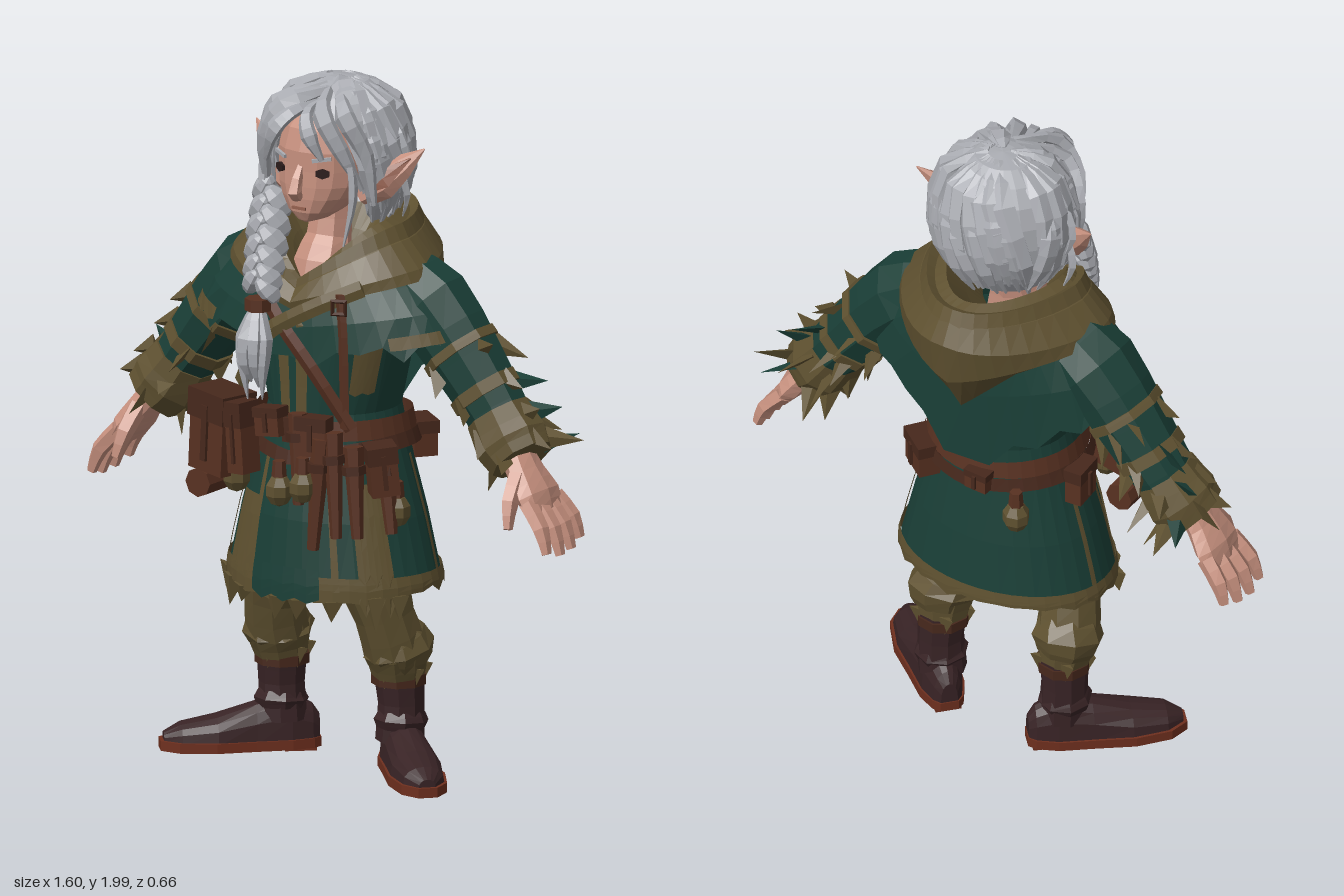
import * as THREE from 'three';
const V = (x, y, z) => new THREE.Vector3(x, y, z);
const paint = (name, color) => new THREE.MeshStandardMaterial({ name, color, side: THREE.DoubleSide });
const lerp = THREE.MathUtils.lerp, PI = Math.PI, O = [0, 0, 0];
let seed = 7;
const rnd = () => (seed = (seed * 16807) % 2147483647) / 2147483647;
const list = (n, f) => Array.from({ length: n }, (_, i) => f(i));
// Faceted normals for any geometry
function flat(geo) {
  const g = geo.index ? geo.toNonIndexed() : geo;
  g.computeVertexNormals();
  return g;
}
const box = (w, h, d) => flat(new THREE.BoxGeometry(w, h, d));
const cyl = (a, b, h, n = 7) => flat(new THREE.CylinderGeometry(a, b, h, n));
const ball = r => flat(new THREE.SphereGeometry(r, 7, 5));
// Skin a list of equally long point rows
function sheet(rows) {
  const p = [];
  for (let i = 0; i + 1 < rows.length; i++)
    for (let j = 0; j + 1 < rows[i].length; j++) {
      const [a, b, c, d] = [rows[i][j], rows[i][j + 1], rows[i + 1][j + 1], rows[i + 1][j]];
      for (const v of [a, d, b, b, d, c]) p.push(v.x, v.y, v.z);
    }
  const g = new THREE.BufferGeometry();
  g.setAttribute('position', new THREE.Float32BufferAttribute(p, 3));
  return flat(g);
}
// Capped tube through points; each radius is a number or [across, along ref]
function tube(pts, radii, sides = 6, ref = V(0, 0, 1), steps = 2) {
  const curve = new THREE.CatmullRomCurve3(pts.map(q => V(...q))), n = (pts.length - 1) * steps;
  return sheet(list(n + 1, i => {
    const c = curve.getPoint(i / n), t = curve.getTangent(i / n);
    const side = t.clone().cross(ref).normalize(), up = side.clone().cross(t).normalize();
    const k = Math.min(Math.floor(i / steps), pts.length - 2), f = i / steps - k;
    const [r0, r1] = [radii[k], radii[k + 1]].map(r => (Array.isArray(r) ? r : [r, r]));
    const a = lerp(r0[0], r1[0], f), b = lerp(r0[1], r1[1], f), cap = list(sides + 1, () => c);
    const row = list(sides + 1, j => c.clone().addScaledVector(side, a * Math.cos(j / sides * PI * 2)).addScaledVector(up, b * Math.sin(j / sides * PI * 2)));
    return i === 0 ? [cap, row] : i === n ? [row, cap] : [row];
  }).flat());
}
// Cloth around the body, dipping to a point at front and back; row = [rx, zFront, zBack, yFront, ySide, yBack]
function drape(rows, jag = 0, a0 = -PI, a1 = PI, pinch = 0, n = 36) {
  return sheet(rows.map(([rx, zf, zb, yf, ys, yb], i) => list(n + 1, j => {
    const w = lerp(a0, a1, j / n), c = Math.cos(w), s = Math.sin(w);
    const y = lerp(ys, c > 0 ? yf : yb, 1 - Math.abs(s)) - (i === rows.length - 1 && j % 2 ? rnd() * jag : 0);
    return V(rx * s * (1 - pinch * Math.max(0, -c)), y, c * (c > 0 ? zf : zb));
  })));
}
// Coat profile: [y, rx, zFront, zBack]
const COAT = [[1.43, .21, .16, .16], [1.3, .25, .2, .19], [1.05, .19, .19, .17], [.95, .215, .205, .18], [.75, .275, .235, .21], [.57, .32, .25, .23]];
function coatPoint(az, y, k = 1) {
  const i = Math.max(0, COAT.findLastIndex((r, m) => r[0] > y && m < COAT.length - 1));
  const f = Math.min(1, (COAT[i][0] - y) / (COAT[i][0] - COAT[i + 1][0])), c = Math.cos(az);
  const [rx, zf, zb] = [1, 2, 3].map(m => lerp(COAT[i][m], COAT[i + 1][m], f) * k);
  return V(rx * Math.sin(az), y, c * (c > 0 ? zf : zb));
}
function patch(a0, a1, yTop, yBottom, n = 5, jag = 0, drop = 0, k = 1.03) {
  return sheet(list(n + 1, j => {
    const az = lerp(a0, a1, j / n), low = yBottom - drop * Math.max(0, Math.cos(az)) - (j % 2 ? rnd() * jag : 0);
    return list(5, i => coatPoint(az, lerp(yTop, low, i / 4), k));
  }));
}
// Hair shell: az 0 is the front, t runs from crown to lower edge
function hairPoint(az, t, k = 1) {
  const a = Math.abs(Math.atan2(Math.sin(az), Math.cos(az)));
  const th = t * lerp(1.0, 2.5, THREE.MathUtils.smoothstep(a, .5, 1.2)), s = Math.sin(th) ** .75;
  return V(.2 * s * Math.sin(az) * k, 1.762 + .222 * Math.cos(th) * k, -.022 + .174 * s * Math.cos(az) * k);
}

export function createModel() {
  seed = 7;
  const root = new THREE.Group();
  const hair = paint('silver hair', 0xa9abb1), skin = paint('skin', 0xc6907e), lips = paint('lips', 0x94604f), dark = paint('eye dark', 0x2a1b1a);
  const green = paint('coat green', 0x1a3f37), olive = paint('olive cloth', 0x5f5130), leather = paint('leather', 0x583121);
  const deep = paint('dark leather', 0x47281c), boot = paint('boot', 0x382325), sole = paint('sole', 0x6e2f1e);
  const place = (o, name, pos, rot, parent) => {
    o.name = name;
    o.position.set(...pos);
    o.rotation.set(...rot);
    parent.add(o);
    return o;
  };
  const add = (name, geo, mat, pos = O, rot = O, parent = root) => place(new THREE.Mesh(geo, mat), name, pos, rot, parent);
  const group = (name, pos, rot) => place(new THREE.Group(), name, pos, rot, root);
  // Torn scrap of cloth pointing along dir
  const scrap = (name, at, dir, r, h, mat) => {
    const d = dir.clone().normalize(), m = add(name, flat(new THREE.ConeGeometry(r, h, 3)), mat, at.clone().addScaledVector(d, h * .35).toArray());
    m.quaternion.setFromUnitVectors(V(0, 1, 0), d);
    m.scale.z = .4;
  };
  // Head and face: [y, rx, zFront, zBack]
  const skull = [[1.592, .01, .15, .1], [1.6, .038, .165, .04], [1.625, .075, .178, 0], [1.665, .11, .182, -.06], [1.7, .13, .182, -.1],
    [1.745, .137, .18, -.12], [1.8, .137, .18, -.13], [1.86, .125, .162, -.12], [1.93, .08, .1, -.08]];
  add('head', sheet(skull.map(([y, rx, f, b]) => list(19, j => {
    const w = (j / 18) * PI * 2, s = Math.sin(w);
    return V(rx * Math.sign(s) * Math.abs(s) ** .85, y, (f + b) / 2 + (f - b) / 2 * Math.cos(w));
  }))), skin);
  add('nose', tube([[0, 1.76, .17], [0, 1.69, .203], [0, 1.668, .182]], [.011, .022, .014], 5), skin);
  add('neck', tube([[0, 1.38, .07], [0, 1.46, .06], [0, 1.53, .035], [0, 1.64, .02]], [.1, .085, .064, .056], 8), skin);
  add('mouth', box(.045, .008, .006), lips, [0, 1.638, .181]);
  for (const s of [-1, 1]) {
    add('eye', flat(new THREE.CylinderGeometry(.022, .022, .008, 6).rotateX(PI / 2).scale(1, .65, 1)), dark, [s * .072, 1.745, .169], [0, s * .48, 0]);
    add('eyebrow', box(.055, .01, .008), hair, [s * .07, 1.785, .17], [0, s * .48, s * .15]);
    add('ear', tube([[s * .12, 1.665, .05], [s * .18, 1.71, .035], [s * .235, 1.76, .01], [s * .288, 1.81, -.02]], [[.035, .025], [.052, .03], [.035, .02], .002], 6), skin);
    add('innerEar', tube([[s * .165, 1.695, .07], [s * .2, 1.727, .058], [s * .262, 1.785, .012]], [[.01, .003], [.028, .004], [.003, .003]], 4), lips);
    for (const y of [1.84, 1.74]) add('looseHair', tube([[s * .17, y + .03, -.03], [s * .205, y, -.01], [s * .228, y - .07, -.02], [s * .205, y - .14, -.03]], [.012, .016, .012, .002], 4), hair);
  }
  // Hair shell, swept strands and front locks
  add('hairShell', sheet(list(9, i => list(25, j => hairPoint((j / 24) * PI * 2, i / 8)))), hair);
  for (let i = 0; i < 40; i++) {
    const az = .8 + (i / 39) * (PI * 2 - 1.6), turn = (az < PI + 1 ? 1 : -.6) * (.3 + .5 * rnd()), k = 1.01 + rnd() * .06;
    const t0 = i % 2 ? .05 : .25 + rnd() * .2, end = .85 + rnd() * .17, mid = az - turn * .3;
    const pts = [0, .33, .67, 1].map(f => hairPoint(az + turn * (f - .8), lerp(t0, end, f), f === 0 ? .97 : k).toArray());
    add('hairStrand', tube(pts, [.01, [.034, .016], [.03, .016], .004], 5, V(Math.sin(mid), .3, Math.cos(mid))), hair);
  }
  const locks = [
    [[.02, 1.96, .06], [-.06, 1.925, .17], [-.12, 1.83, .18], [-.145, 1.66, .13]], [[0, 1.97, .04], [-.11, 1.91, .13], [-.17, 1.8, .1], [-.16, 1.64, .11]],
    [[.02, 1.96, .06], [.07, 1.92, .17], [.125, 1.82, .16], [.165, 1.7, .11]], [[.04, 1.97, .04], [.12, 1.91, .13], [.17, 1.8, .1], [.18, 1.65, .07]],
    [[.01, 1.93, .1], [-.015, 1.915, .2], [-.05, 1.87, .232], [-.1, 1.77, .2]], [[.01, 1.93, .1], [.03, 1.91, .19], [.055, 1.86, .21], [.085, 1.79, .19]],
    [[.1, 1.88, .15], [.145, 1.78, .14], [.155, 1.68, .14], [.13, 1.54, .15]], [[-.13, 1.83, .14], [-.15, 1.76, .14], [-.145, 1.68, .15], [-.125, 1.6, .16]]];
  locks.forEach((p, i) => add('frontLock', tube(p, i > 5 ? [.008, .014, .014, .003] : [.012, i > 3 ? [.022, .014] : [.034, .018], [.028, .015], .008], 5, V(0, .3, 1), 3), hair));
  // Braid over the right shoulder, its tie and loose tail
  const braid = new THREE.CatmullRomCurve3([V(-.13, 1.66, .13), V(-.115, 1.56, .175), V(-.095, 1.46, .225), V(-.085, 1.39, .25)]);
  for (let i = 0; i < 12; i++) {
    const s = i % 2 ? 1 : -1, p = braid.getPoint(i / 12);
    add('braidLobe', ball(.051 - Math.abs(i - 4) * .0015), hair, [p.x + s * .026, p.y, p.z], [.35, 0, s * .6]).scale.set(.72, 1.15, .8);
  }
  add('braidTie', cyl(.038, .038, .035), leather, [-.085, 1.365, .257]);
  for (let i = 0; i < 6; i++) {
    const c = Math.cos(i * PI / 3), s = Math.sin(i * PI / 3);
    add('braidTail', tube([[-.085, 1.37, .257], [-.085 + c * .035, 1.27, .28 + s * .02], [-.083 + c * .034, 1.2, .288 + s * .015], [-.08 + c * .025, 1.09 + rnd() * .06, .28]], [.014, .026, .02, .002], 5), hair);
  }
  // Hood lying on the shoulders, pointed behind
  add('hood', drape([[.08, .08, .05, 1.36, 1.45, 1.42], [.12, .12, .14, 1.4, 1.52, 1.5], [.168, .16, .22, 1.42, 1.59, 1.585], [.25, .2, .3, 1.41, 1.55, 1.565],
    [.315, .225, .335, 1.375, 1.48, 1.5], [.33, .22, .315, 1.355, 1.45, 1.36], [.27, .19, .24, 1.35, 1.44, 1.23], [.2, .15, .16, 1.35, 1.42, 1.25]], 0, -PI, PI, .2), olive);
  add('hoodFold', drape([[.2, .18, .26, 1.42, 1.575, 1.585], [.225, .19, .285, 1.435, 1.592, 1.597], [.25, .2, .305, 1.4, 1.545, 1.555]], 0, -PI, PI, .2), olive);
  // Shoulder cape, torn behind, with trim over the arms and down the chest
  add('cape', drape([[.2, .15, .18, 1.38, 1.52, 1.45], [.32, .2, .21, 1.36, 1.44, 1.38], [.39, .215, .215, 1.3, 1.37, 1.25], [.435, .222, .215, 1.22, 1.305, 1.03]], .07), green);
  for (const s of [-1, 1]) {
    add('capeTrim', drape([[.43, .226, .224, 1.245, 1.328, 1.1], [.446, .23, .226, 1.21, 1.295, 1.05]], .015, s * .75, s * 2, 0, 14), olive);
    add('capeEdge', patch(s * .74, s * 1.08, 1.42, 1.12, 4, .05, 0, 1.11), olive);
    add('frontTrim', patch(s * .05, s * .2, 1.4, 1.04, 3, 0, 0, 1.09), olive);
  }
  // Coat, hem and panels
  add('coat', drape(COAT.map(([y, rx, f, b]) => [rx, f, b, y, y, y])), green);
  add('coatHem', patch(-PI, PI, .6, .56, 40, .025, .035), olive);
  add('frontTail', patch(-.35, .35, .62, .555, 6, .02, .02, 1.045), green);
  add('rightPanel', patch(-.8, -.42, .8, .58, 6, .06), olive);
  add('leftPanel', patch(.72, 1.08, .86, .53, 6, .08), olive);
  for (const a of [-1.2, -.4, .5, 1.75, -1.75]) add('panelEdge', patch(a - .035, a + .035, .92, .56, 2), olive);
  for (const [a, h] of [[-1.15, .07], [-.8, .09], [-.55, .05], [-.1, .07], [.12, .06], [.45, .06], [.85, .1], [1.1, .07]])
    scrap('hemTatter', coatPoint(a, .55 - .03 * Math.cos(a), 1.01), V(a * .15, -1, 0), .045, h, olive);
  for (const s of [-1, 1]) {
    // Sleeve, bands and cuff
    const limb = (name, pts, radii, mat, sides = 9) => add(name, tube(pts.map(([x, y, z]) => [s * x, y, z]), radii, sides), mat);
    limb('sleeve', [[.2, 1.43, -.02], [.31, 1.36, -.025], [.43, 1.22, -.03], [.53, 1.09, -.03], [.6, 1.0, -.02]], [.1, .122, .106, .092, .08], green);
    limb('sleeveBand', [[.4, 1.255, -.03], [.418, 1.234, -.03]], [.117, .118], olive);
    limb('elbowBand', [[.48, 1.153, -.03], [.503, 1.124, -.03]], [.105, .105], olive);
    limb('cuff', [[.535, 1.085, -.025], [.59, 1.01, -.02], [.63, .967, -.01]], [.094, .108, .094], olive);
    // Torn scraps, mostly on the back and underside of the arm
    const axis = V(s * .62, -.78, 0), out = V(s * .78, .62, 0);
    for (const [x, y, r, n] of [[.43, 1.22, .1, 7], [.5, 1.13, .095, 8], [.565, 1.045, .098, 8], [.615, .98, .095, 9]])
      for (let i = 0; i < n; i++) {
        const w = (i / n) * PI * 2 + rnd() * .4, rad = out.clone().multiplyScalar(Math.cos(w)).add(V(0, 0, Math.sin(w)));
        if (rad.z > .1 && i % 2) continue;
        scrap('sleeveTatter', V(s * x, y, -.025).addScaledVector(rad, r * .9), rad.clone().addScaledVector(axis, .2 + rnd() * 1.3),
          .042, .07 + (rad.z < -.3 ? .03 : 0) + rnd() * .025, i % 4 === 3 ? green : olive);
      }
    // Hand with fingers
    limb('palm', [[.6, 1.0, -.01], [.65, .935, 0], [.69, .88, 0], [.715, .835, 0]], [[.045, .05], [.042, .068], [.042, .09], [.028, .088]], skin, 8);
    [[.065, .95], [.022, 1.05], [-.022, 1], [-.065, .85]].forEach(([z, l]) =>
      limb('finger', [[.7, .865, z], [.712 + .045 * l, .86 - .06 * l, z * 1.2], [.715 + .068 * l, .86 - .13 * l, z * 1.3]], [.027, .025, .015], skin, 5));
    limb('thumb', [[.65, .935, .04], [.66, .87, .095], [.672, .8, .12]], [.03, .026, .014], skin, 5);
    // Trousers
    limb('trouserLeg', [[.1, .78, .01], [.15, .6, .045], [.188, .46, .03], [.202, .35, -.005], [.2, .27, -.02]], [.12, .108, .086, .092, .072], olive);
    limb('kneeFold', [[.194, .41, .01], [.206, .36, -.01], [.203, .31, -.02]], [.08, .104, .08], olive, 8);
    for (let i = 0; i < 5; i++) scrap('trouserTatter', V(s * .2 + .07 * Math.sin(i * 1.26), .3, -.02 + .07 * Math.cos(i * 1.26)), V(0, -1, 0), .035, .06, olive);
    // Boot, turned outward
    limb('bootShaft', [[.2, .29, -.02], [.205, .2, -.025], [.2, .09, -.025]], [.072, .066, .07], boot);
    limb('bootFold', [[.204, .175, -.024], [.205, .15, -.022], [.204, .125, -.02]], [.065, .078, .068], boot, 8);
    limb('bootCuff', [[.2, .285, -.02], [.2, .255, -.02]], [.078, .078], deep);
    const foot = group('foot', [s * .203, 0, -.03], [0, s * .83, 0]);
    const secs = [[-.1, .025, .1], [-.08, .042, .13], [-.02, .06, .165], [.08, .066, .14], [.19, .075, .105], [.29, .06, .085], [.338, .025, .06]];
    add('footUpper', sheet([secs[0], ...secs, secs[6]].map(([z, w, h], i) => list(9, j => {
      const a = (j / 8) * PI;
      return i % 8 ? V(w * Math.cos(a), .03 + (h - .03) * Math.sin(a) ** .7, z) : V(0, .03, z);
    }))), boot, O, O, foot);
    const edge = k => secs.map(([z, w]) => new THREE.Vector2(w * k, -z * 1.03));
    const soleGeo = new THREE.ExtrudeGeometry(new THREE.Shape([...edge(1.08), ...edge(-1.08).reverse()]), { depth: .028, bevelEnabled: false });
    add('footSole', flat(soleGeo.rotateX(-PI / 2)), sole, [0, .01, 0], O, foot);
    add('bootHeel', box(.075, .014, .09), sole, [0, .007, -.045], O, foot);
  }
  // Belts and straps
  add('waistBelt', drape([[.222, .222, .2, 1.04, 1.04, 1.02], [.234, .232, .208, .985, .985, .975]]), leather);
  add('hipBelt', drape([[.236, .232, .21, .95, .99, .97], [.25, .24, .215, .91, .95, .93]]), deep);
  const strap = (name, pts, w, mat) => add(name, tube(pts, pts.map(() => [w, .008]), 4, V(0, 0, 1), 3), mat);
  strap('crossStrap', [[-.13, 1.42, .2], [-.03, 1.32, .235], [.08, 1.2, .235], [.19, 1.03, .195]], .024, leather);
  strap('oliveStrap', [[.22, 1.44, .185], [.06, 1.36, .235], [-.08, 1.27, .24], [-.2, 1.1, .18]], .024, olive);
  strap('sideStrap', [[.165, 1.42, .215], [.175, 1.3, .215], [.17, 1.03, .2]], .016, leather);
  add('strapBuckle', flat(new THREE.TorusGeometry(.026, .008, 4, 4)), deep, [.168, 1.385, .225], [0, .4, PI / 4]);
  add('beltBuckle', box(.07, .07, .014), deep, [.02, 1.01, .235]);
  // Pouches: [x, y, z, w, h, d, turn, tilt]
  const pouches = [[-.25, .965, .205, .14, .23, .11, -.25, -.06], [-.145, .97, .25, .06, .2, .07, -.15, .08], [-.05, 1.03, .245, .08, .08, .05, 0, .1], [.1, 1.01, .25, .09, .11, .05, .2, 0],
    [.27, .92, .16, .08, .14, .08, .8, .1], [.18, .94, -.15, .11, .1, .07, 2.5, 0], [-.04, .97, -.21, .07, .06, .04, 3.1, 0], [-.255, .93, -.02, .09, .11, .05, -1.5, 0]];
  for (const [x, y, z, w, h, d, turn, tilt] of pouches) {
    const g = group('pouch', [x, y, z], [0, turn, tilt]);
    add('pouchBody', box(w, h, d), leather, O, O, g);
    add('pouchFlap', box(w * 1.08, h * .36, d * 1.12), deep, [0, h * .34, 0], O, g);
    add('pouchStrap', box(w * .16, h * .7, .008), deep, [0, 0, d * .5 + .006], O, g);
  }
  add('rollEnd', cyl(.042, .042, .14, 8), leather, [-.305, .81, .17], [PI / 2, 0, 0]);
  // Hanging tools and flasks along the belt
  for (const [x, y, z, r, h, tilt] of [[.055, .94, .262, .024, .26, .05], [.125, .85, .268, .026, .32, -.05], [.175, .88, .255, .025, .3, .08], [.225, .86, .225, .026, .26, .1], [.29, .86, .16, .026, .24, .15]]) {
    add('toolSheath', cyl(r * 1.15, r * .65, h, 6), leather, [x, y, z], [-.06, 0, tilt]);
    add('toolCollar', cyl(r * 1.35, r * 1.35, .025, 6), deep, [x - tilt * h * .25, y + h * .25, z], [0, 0, tilt]);
  }
  for (const [x, y, z] of [[-.01, .84, .262], [.09, .87, .29], [.3, .8, .13], [-.15, .87, -.19], [-.2, .84, .2]]) {
    add('flask', ball(.04), olive, [x, y, z]).scale.y = 1.2;
    add('flaskNeck', cyl(.018, .022, .05, 6), leather, [x, y + .06, z]);
  }
  return root;
}
